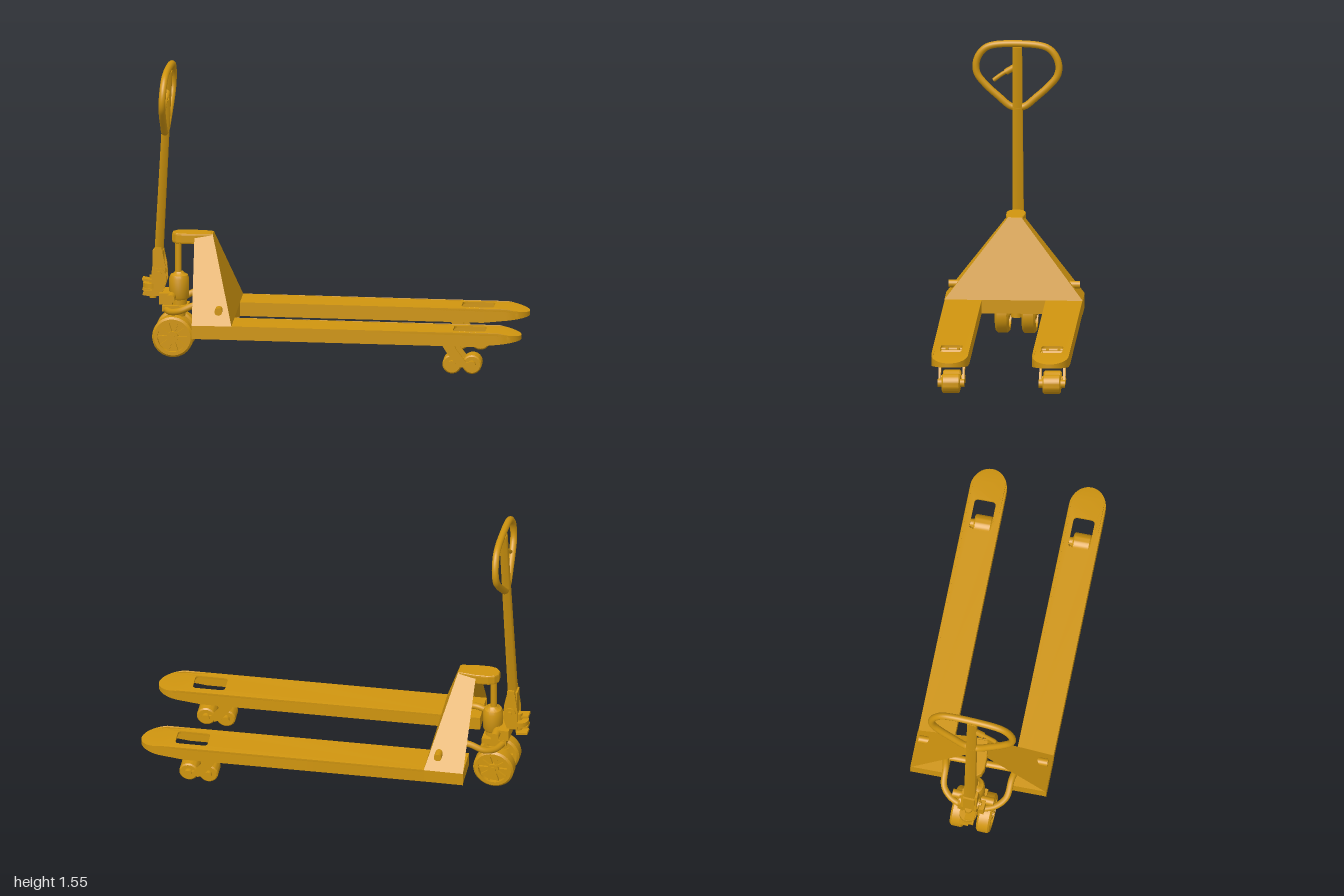
import * as THREE from 'three';
import { toCreasedNormals } from 'three/addons/utils/BufferGeometryUtils.js';

const paint = new THREE.MeshStandardMaterial({ color: 0xd0950f, side: THREE.DoubleSide });
paint.name = 'amber paint';

function add(parent, name, geo, x = 0, y = 0, z = 0) {
  const m = new THREE.Mesh(geo, paint);
  m.name = name;
  m.position.set(x, y, z);
  parent.add(m);
  return m;
}
const box = (w, h, d) => new THREE.BoxGeometry(w, h, d);
const cyl = (r, h, r2 = r) => new THREE.CylinderGeometry(r2, r, h, 28);
const cylZ = (r, w) => cyl(r, w).rotateX(Math.PI / 2);
const poly = pts => new THREE.Shape(pts.map(p => new THREE.Vector2(...p)));
const tube = (pts, r, n = 24, closed = false) => new THREE.TubeGeometry(
  new THREE.CatmullRomCurve3(pts.map(p => new THREE.Vector3(...p)), closed, 'centripetal'), n, r, 12, closed);
// Side profile in x/y, extruded symmetrically about z = 0
const plate = (pts, w) => new THREE.ExtrudeGeometry(poly(pts), { depth: w, bevelEnabled: false }).translate(0, 0, -w / 2);
// Revolved profile with its axis along z
const latheZ = pts => toCreasedNormals(new THREE.LatheGeometry(pts.map(p => new THREE.Vector2(...p)), 40).rotateX(Math.PI / 2), 0.6);

// Quads from corner loops
function quads(list) {
  const pos = [];
  for (const [a, b, c, d] of list) pos.push(...a, ...b, ...c, ...a, ...c, ...d);
  const g = new THREE.BufferGeometry();
  g.setAttribute('position', new THREE.Float32BufferAttribute(pos, 3));
  g.computeVertexNormals();
  return g;
}

// Fork height along its length
const lerp = THREE.MathUtils.mapLinear;
const forkTop = x => x < 0.88 ? lerp(x, -0.71, 0.88, 0.245, 0.232) : lerp(x, 0.88, 1, 0.232, 0.208);
const forkBottom = x => x < 0.76 ? lerp(x, -0.71, 0.76, 0.172, 0.16) : lerp(x, 0.76, 1, 0.16, 0.186);

function forkOutline(half, inset) {
  const pts = [[-0.71, -half], [0.2, -half], [0.76, -half]];
  for (let i = 0; i <= 20; i++) {
    const a = -Math.PI / 2 + Math.PI * i / 20;
    pts.push([0.88 + (0.12 - inset) * Math.cos(a), half * Math.sin(a)]);
  }
  pts.push([0.76, half], [0.2, half], [-0.71, half]);
  return pts;
}

function forkGeometry(shape, depthAt) {
  const g = new THREE.ExtrudeGeometry(shape, { depth: 1, bevelEnabled: false, curveSegments: 6 }).rotateX(Math.PI / 2);
  const p = g.attributes.position;
  for (let i = 0; i < p.count; i++) {
    const x = p.getX(i);
    p.setY(i, forkTop(x) + p.getY(i) * depthAt(x));
  }
  return toCreasedNormals(g, 0.5);
}

function makeFork(side) {
  const fork = new THREE.Group();
  fork.name = side > 0 ? 'leftFork' : 'rightFork';
  fork.position.z = side * 0.262;

  // Top plate with a rounded roller window
  const top = poly(forkOutline(0.096, 0));
  const hole = new THREE.Path();
  const [x0, x1, h, r] = [0.645, 0.815, 0.056, 0.022];
  hole.moveTo(x0 + r, -h).lineTo(x1 - r, -h).quadraticCurveTo(x1, -h, x1, -h + r)
    .lineTo(x1, h - r).quadraticCurveTo(x1, h, x1 - r, h)
    .lineTo(x0 + r, h).quadraticCurveTo(x0, h, x0, h - r)
    .lineTo(x0, -h + r).quadraticCurveTo(x0, -h, x0 + r, -h);
  top.holes.push(hole);
  add(fork, 'forkTopPlate', forkGeometry(top, () => 0.012));

  // Folded side walls running around the tip
  const wall = poly([...forkOutline(0.096, 0), ...forkOutline(0.084, 0.012).reverse()]);
  add(fork, 'forkWall', forkGeometry(wall, x => forkTop(x) - forkBottom(x)));
  add(fork, 'forkEndPlate', box(0.012, 0.07, 0.19), -0.704, 0.208, 0);

  // Push rods beneath the plate
  for (const s of [-1, 1]) add(fork, 'pushRod', box(1.2, 0.022, 0.014), 0.0, 0.196, s * 0.03);
  for (const x of [-0.59, 0.56]) add(fork, 'pushRodPin', cylZ(0.014, 0.17), x, 0.194, 0);

  // Swing arm and tandem load rollers
  const arm = [[0.565, 0.2], [0.63, 0.2], [0.665, 0.135], [0.715, 0.07], [0.695, 0.04], [0.665, 0.055], [0.62, 0.11]];
  for (const s of [-1, 1]) {
    add(fork, 'swingArmCheek', plate(arm, 0.012), 0, 0, s * 0.062);
    add(fork, 'bogieLink', box(0.105, 0.026, 0.01), 0.692, 0.054, s * 0.054);
    for (const x of [0.64, 0.744]) add(fork, 'axleCap', cylZ(0.021, 0.022), x, 0.054, s * 0.058);
  }
  const web = add(fork, 'swingArmWeb', box(0.09, 0.014, 0.12), 0.622, 0.16, 0);
  web.rotation.z = -0.9;
  const roller = latheZ([[0, -0.047], [0.043, -0.047], [0.05, -0.04], [0.05, 0.04], [0.043, 0.047], [0, 0.047]]);
  for (const x of [0.64, 0.744]) add(fork, 'loadRoller', roller, x, 0.052, 0);
  return fork;
}

function makeBody() {
  const body = new THREE.Group();
  body.name = 'body';
  // Sloped shell, open at the back and underneath
  const P = (x, y, z) => s => [x, y, z * s];
  const A = P(-0.63, 0.655, 0.036), B = P(-0.505, 0.243, 0.36), C = P(-0.505, 0.172, 0.36);
  const D = P(-0.725, 0.655, 0.036), E = P(-0.712, 0.243, 0.36), F = P(-0.712, 0.172, 0.36);
  const list = [[A(1), A(-1), D(-1), D(1)], [B(1), B(-1), A(-1), A(1)], [C(1), C(-1), B(-1), B(1)]];
  for (const s of [1, -1]) {
    const q = [[E(s), B(s), A(s), D(s)], [F(s), C(s), B(s), E(s)]];
    list.push(...(s > 0 ? q : q.map(c => c.reverse())));
  }
  add(body, 'bodyShell', quads(list));

  // Rounded head over the lift ram
  const head = poly([[-0.64, -0.036], [-0.64, 0.036], [-0.72, 0.046], [-0.79, 0.046], [-0.82, 0.036],
    [-0.838, 0.014], [-0.838, -0.014], [-0.82, -0.036], [-0.79, -0.046], [-0.72, -0.046]]);
  add(body, 'liftHead', new THREE.ExtrudeGeometry(head, { depth: 0.035, bevelThickness: 0.01, bevelSize: 0.005, bevelSegments: 2 })
    .rotateX(Math.PI / 2), 0, 0.647, 0);

  // Side pins and lower linkage arms
  for (const s of [-1, 1]) {
    add(body, 'sidePin', cylZ(0.02, 0.1), -0.575, 0.315, s * 0.292);
    add(body, 'linkArm', tube([[-0.87, 0.25, s * 0.05], [-0.84, 0.255, s * 0.12], [-0.79, 0.272, s * 0.165],
      [-0.7, 0.31, s * 0.175], [-0.62, 0.3, s * 0.19]], 0.017));
  }
  add(body, 'linkShaft', cylZ(0.018, 0.5), -0.62, 0.25, 0);
  return body;
}

function makeSteering() {
  const g = new THREE.Group();
  g.name = 'steeringUnit';
  g.position.x = -0.83;
  g.rotation.y = -0.047;

  // Spoked steering wheels
  const tyre = latheZ([[0.078, -0.036], [0.096, -0.036], [0.107, -0.026], [0.107, 0.026], [0.096, 0.036], [0.078, 0.036], [0.078, -0.036]]);
  for (const s of [-1, 1]) {
    const wheel = new THREE.Group();
    wheel.name = 'steerWheel';
    wheel.position.set(0, 0.115, s * 0.07);
    add(wheel, 'tyre', tyre);
    add(wheel, 'wheelWeb', cylZ(0.08, 0.03));
    add(wheel, 'wheelHub', cylZ(0.03, 0.07));
    add(wheel, 'axleEnd', cylZ(0.014, 0.08));
    for (let i = 0; i < 10; i++) {
      const a = i * Math.PI / 5;
      add(wheel, 'spoke', box(0.055, 0.011, 0.054), 0.053 * Math.cos(a), 0.053 * Math.sin(a)).rotation.z = a;
    }
    g.add(wheel);
  }
  add(g, 'axle', cylZ(0.016, 0.15), 0, 0.115, 0);
  add(g, 'axlePost', cyl(0.03, 0.17), 0, 0.175, 0);
  add(g, 'turntable', cyl(0.045, 0.03), 0.01, 0.225, 0);
  add(g, 'pumpBase', box(0.13, 0.032, 0.12), 0.005, 0.256, 0);

  // Hydraulic pump and ram
  add(g, 'pumpFoot', cyl(0.04, 0.05), 0.022, 0.29, 0);
  add(g, 'pumpCylinder', toCreasedNormals(new THREE.LatheGeometry([[0, 0.3], [0.045, 0.3], [0.052, 0.312], [0.052, 0.41],
    [0.045, 0.428], [0.03, 0.435], [0.022, 0.445], [0, 0.445]].map(p => new THREE.Vector2(...p)), 32), 0.6), 0.022);
  add(g, 'liftRam', cyl(0.017, 0.2), 0.018, 0.53, 0);
  add(g, 'valveBlock', box(0.07, 0.06, 0.14), -0.04, 0.31, 0);
  add(g, 'valveBolt', cylZ(0.022, 0.22), -0.01, 0.32, 0);

  // Handle bracket cheeks with pivot
  const cheek = [[-0.1, 0.575], [-0.065, 0.575], [-0.045, 0.48], [-0.04, 0.4], [-0.06, 0.34], [-0.115, 0.34], [-0.118, 0.44]];
  for (const s of [-1, 1]) add(g, 'handleBracket', plate(cheek, 0.012), 0, 0, s * 0.036);
  add(g, 'bracketCore', box(0.055, 0.2, 0.06), -0.085, 0.46, 0);
  add(g, 'pivotPin', cylZ(0.03, 0.1), -0.078, 0.44, 0);
  add(g, 'pivotPinEnd', cylZ(0.013, 0.12), -0.078, 0.44, 0);

  // Foot pedal and release fingers
  add(g, 'pedalBoss', cyl(0.045, 0.025), -0.122, 0.37, 0);
  add(g, 'pedalBar', box(0.1, 0.025, 0.03), -0.11, 0.33, 0.02);
  [0.315, 0.345, 0.4].forEach((y, i) => {
    add(g, 'pedalFinger', box(0.06, 0.012, 0.05), -0.138, y, (i - 1) * 0.015).rotation.z = -0.15;
  });
  add(g, 'pedalStem', cyl(0.018, 0.12), -0.115, 0.36, 0);

  // Tilted handle: square bar, grip loop and release lever
  const handle = new THREE.Group();
  handle.name = 'handle';
  handle.position.set(-0.083, 0.55, 0);
  handle.rotation.z = -0.052;
  add(handle, 'handleBar', new THREE.CylinderGeometry(0.0335, 0.04, 0.965, 4).rotateY(Math.PI / 4)
    .scale(0.72, 1, 1), 0, 0.483, 0);
  const half = [[0.03, 0.645], [0.1, 0.7], [0.17, 0.765], [0.208, 0.815], [0.217, 0.86], [0.205, 0.91], [0.17, 0.955], [0.115, 0.976]];
  const loop = [...half.map(([z, y]) => [0, y, z]), ...half.slice().reverse().map(([z, y]) => [0, y, -z])];
  add(handle, 'gripLoop', tube(loop, 0.0185, 96, true));
  add(handle, 'releaseLever', tube([[0, 0.865, 0.015], [0, 0.835, 0.055], [0, 0.815, 0.085], [0, 0.785, 0.125]], 0.011));
  add(handle, 'leverRoot', tube([[0, 0.86, 0.01], [0, 0.83, 0.06]], 0.017, 4));
  g.add(handle);
  return g;
}

export function createModel() {
  const model = new THREE.Group();
  model.name = 'palletTruck';
  model.add(makeFork(1), makeFork(-1), makeBody(), makeSteering());
  return model;
}
